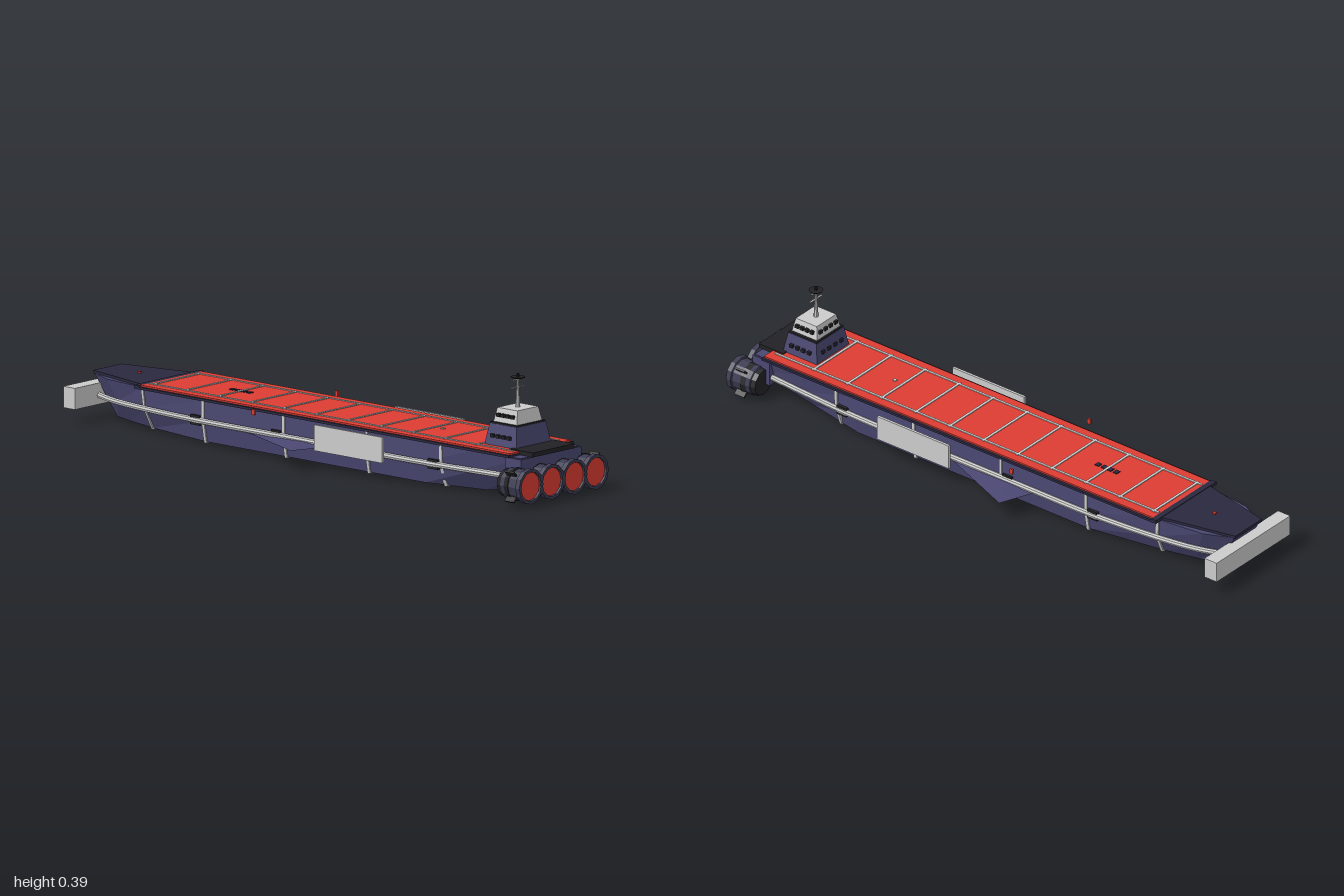
import * as THREE from 'three';

const mat = (color) => new THREE.MeshStandardMaterial({ color, flatShading: true });
const PURPLE = mat(0x4a4872), NAVY = mat(0x2a283e), BLACK = mat(0x222226), RED = mat(0xdd3c32), GREY = mat(0xcccccc);

// hull stations: z at deck, z at keel, half widths at deck / middle / keel, keel height
const STATIONS = [
  [0.94, 0.9, 0.14, 0.12, 0.08, 0.03],
  [0.74, 0.74, 0.145, 0.135, 0.09, 0.01],
  [0.52, 0.52, 0.148, 0.148, 0.135, 0.01],
  [-0.43, -0.43, 0.148, 0.148, 0.135, 0.01],
  [-0.71, -0.7, 0.13, 0.125, 0.09, 0.01],
  [-0.88, -0.82, 0.11, 0.095, 0.06, 0.01],
  [-0.975, -0.9, 0.066, 0.055, 0.04, 0.012],
];

function stationAt(z) {
  let i = 0;
  while (i < STATIONS.length - 2 && z < STATIONS[i + 1][0]) i++;
  const a = STATIONS[i], b = STATIONS[i + 1], t = (a[0] - z) / (a[0] - b[0]);
  return a.map((v, k) => v + (b[k] - v) * t);
}

// counter-clockwise ring seen from the stern
function ring([zt, zb, top, mid, bot, y], grow = 0) {
  const zm = (zt + zb) / 2, half = [[bot, y - grow, zb], [mid, 0.08, zm], [top, 0.148, zt]];
  const right = half.map(([x, h, z]) => [x + grow, h, z]);
  return [...right, ...right.slice().reverse().map(([x, h, z]) => [-x, h, z])];
}

function loft(rings) {
  const n = rings[0].length, idx = [], last = (rings.length - 1) * n;
  for (let i = 0; i < rings.length - 1; i++)
    for (let j = 0; j < n; j++) {
      const a = i * n + j, b = i * n + (j + 1) % n;
      idx.push(a, a + n, b + n, a, b + n, b);
    }
  for (let j = 1; j < n - 1; j++) idx.push(0, j, j + 1, last, last + j + 1, last + j);
  const g = new THREE.BufferGeometry();
  g.setAttribute('position', new THREE.Float32BufferAttribute(rings.flat(2), 3));
  g.setIndex(idx);
  g.computeVertexNormals();
  return g;
}

export function createModel() {
  const root = new THREE.Group();
  const add = (name, geo, material, x = 0, y = 0, z = 0, parent = root) => {
    const m = new THREE.Mesh(geo, material);
    m.name = name;
    m.position.set(x, y, z);
    parent.add(m);
    return m;
  };
  const box = (name, w, h, d, material, x, y, z, parent) =>
    add(name, new THREE.BoxGeometry(w, h, d), material, x, y, z, parent);
  // four-sided tapered block, half sizes at base and top
  const taper = (name, base, top, h, depth, material, y, z) => {
    const g = new THREE.CylinderGeometry(top * Math.SQRT2, base * Math.SQRT2, h, 4).rotateY(Math.PI / 4);
    g.scale(1, 1, depth);
    return add(name, g, material, 0, y + h / 2, z);
  };

  // hull and the hoops around it
  add('hull', loft(STATIONS.map((s) => ring(s))), PURPLE);
  for (const z of [0.6, 0.28, -0.08, -0.43, -0.71]) {
    const hoop = [0.006, -0.006].map((d) => ring(stationAt(z + d), 0.004));
    add('hullHoop', loft(hoop), GREY);
  }
  box('keelSensor', 0.013, 0.012, 0.02, BLACK, 0, 0.006, 0);

  // deck plates
  box('deckEdge', 0.31, 0.008, 1.61, NAVY, 0, 0.15, 0.095);
  box('deck', 0.292, 0.006, 1.6, RED, 0, 0.156, 0.097);
  const bow = new THREE.Shape([[-0.125, 0.72], [-0.068, 0.98], [0.068, 0.98], [0.125, 0.72]]
    .map(([x, y]) => new THREE.Vector2(x, y)));
  const bowGeo = new THREE.ExtrudeGeometry(bow, { depth: 0.01, bevelEnabled: false }).rotateX(-Math.PI / 2);
  add('bowDeck', bowGeo, NAVY, 0, 0.147, 0);
  box('deckFrontEdge', 0.31, 0.012, 0.02, NAVY, 0, 0.153, -0.713);
  for (let i = 0; i < 11; i++) box('deckCrossLine', 0.235, 0.003, 0.009, GREY, 0, 0.16, -0.68 + 0.14 * i);
  for (const s of [-1, 1]) box('deckLine', 0.008, 0.003, 1.58, GREY, s * 0.11, 0.16, 0.09);
  for (let i = 0; i < 4; i++) box('deckHatch', 0.018, 0.004, 0.016, NAVY, 0, 0.16, -0.437 + 0.025 * i);
  box('deckBeacon', 0.012, 0.004, 0.012, GREY, 0, 0.16, 0.475);
  box('bowLight', 0.01, 0.006, 0.01, RED, 0, 0.159, -0.84);
  box('sternDeck', 0.2, 0.015, 0.1, BLACK, 0, 0.155, 0.905);
  box('sternBlock', 0.29, 0.09, 0.07, PURPLE, 0, 0.1, 0.91);

  // bridge tower
  taper('towerBase', 0.083, 0.07, 0.07, 0.84, PURPLE, 0.157, 0.8);
  box('towerRoof', 0.138, 0.006, 0.115, BLACK, 0, 0.229, 0.8);
  taper('towerTop', 0.06, 0.05, 0.046, 0.86, GREY, 0.231, 0.8);
  for (const [y, x, z, gap] of [[0.19, 0.078, 0.065, 0.024], [0.255, 0.056, 0.048, 0.02]])
    for (let i = 0; i < 4; i++) {
      const o = (i - 1.5) * gap;
      box('rearWindow', 0.014, 0.011, 0.012, BLACK, o * 1.3, y, 0.8 - z);
      for (const s of [-1, 1]) box('sideWindow', 0.016, 0.011, 0.013, BLACK, s * x, y, 0.8 + o);
    }

  // mast
  add('mast', new THREE.CylinderGeometry(0.003, 0.008, 0.1, 8), GREY, 0, 0.325, 0.8);
  box('mastSpar', 0.06, 0.003, 0.006, GREY, 0, 0.342, 0.8);
  box('mastUpperSpar', 0.042, 0.003, 0.006, GREY, 0, 0.367, 0.8);
  add('radarDisc', new THREE.CylinderGeometry(0.024, 0.021, 0.004, 10), BLACK, 0, 0.374, 0.8);
  add('mastCap', new THREE.CylinderGeometry(0.005, 0.005, 0.013, 8), BLACK, 0, 0.38, 0.8);

  // skewed fin running through the hull
  const fin = new THREE.OctahedronGeometry(1);
  fin.scale(0.294, 0.02, 0.294);
  add('fin', fin, PURPLE, 0, 0.07, -0.055).rotation.y = 0.402;

  // side pipes, panels and lights
  for (const s of [-1, 1]) {
    const pts = [0.93, 0.75, 0.55, 0.2, -0.2, -0.45, -0.71, -0.86, -0.96].map((z) =>
      new THREE.Vector3(s * (stationAt(z)[3] + 0.006), 0.08, z));
    add('sidePipe', new THREE.TubeGeometry(new THREE.CatmullRomCurve3(pts), 48, 0.01, 8), GREY);
    for (const z of [0.6, -0.08, -0.43])
      box('pipeClamp', 0.02, 0.032, 0.04, BLACK, s * 0.146, 0.08, z - 0.03);
    box('sidePanel', 0.009, 0.085, 0.295, GREY, s * 0.194, 0.107, 0.243);
    for (const z of [0.16, 0.33]) box('panelStrut', 0.05, 0.008, 0.01, GREY, s * 0.17, 0.1, z);
    box('sideLight', 0.007, 0.018, 0.012, RED, s * 0.199, 0.154, -0.165);
  }
  box('bowBar', 0.378, 0.07, 0.05, GREY, 0, 0.085, -0.975);

  // four engines
  const drum = (r0, r1, d) => new THREE.CylinderGeometry(r1, r0, d, 12).rotateX(Math.PI / 2);
  const nozzle = new THREE.LatheGeometry([[0.045, -0.045], [0.051, -0.04], [0.053, 0.03], [0.058, 0.032],
    [0.058, 0.05], [0.048, 0.05], [0.046, 0.03]].map(([r, y]) => new THREE.Vector2(r, y)), 12).rotateX(Math.PI / 2);
  const shell = PURPLE.clone();
  shell.side = THREE.DoubleSide;
  shell.color.set(0x3c3b52);
  for (const x of [-0.156, -0.054, 0.054, 0.156]) {
    const engine = new THREE.Group();
    engine.name = 'engine';
    engine.position.set(x, 0.067, 0.95);
    root.add(engine);
    add('engineNozzle', nozzle, shell, 0, 0, 0, engine);
    add('engineCollar', drum(0.045, 0.055, 0.055), BLACK, 0, 0, -0.032, engine);
    add('engineGlow', drum(0.047, 0.047, 0.01), RED, 0, 0, 0.038, engine);
    if (Math.abs(x) > 0.1)
      for (const v of [-1, 1]) {
        const s = Math.sign(x);
        const vane = box('engineVane', 0.022, 0.006, 0.04, BLACK, s * 0.042, v * 0.042, 0.0, engine);
        vane.rotation.z = s * v * Math.PI / 4;
      }
  }
  return root;
}
